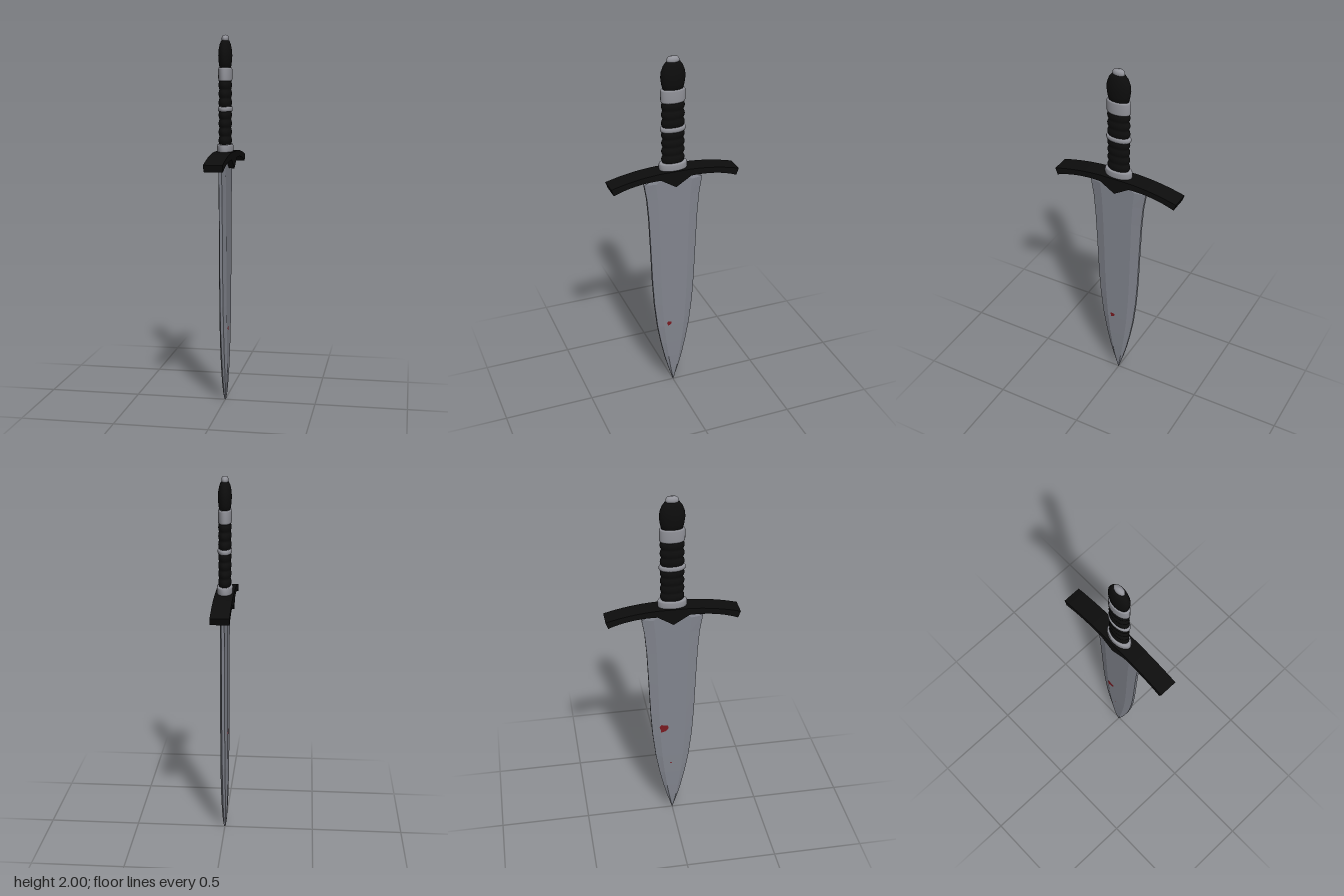
import * as THREE from 'three';

const mat = (name, color, extra = {}) => {
  const m = new THREE.MeshStandardMaterial({ color, ...extra });
  m.name = name;
  return m;
};

export function createModel() {
  const group = new THREE.Group();
  group.name = 'dagger';
  const steel = mat('blade steel', 0x82858e, { flatShading: true });
  const silver = mat('silver', 0x92939a);
  const black = mat('black leather', 0x0d0d0d);
  const blackFlat = mat('black metal', 0x0d0d0d, { flatShading: true });
  const red = mat('dark red', 0x7a1a20);

  const add = (name, geometry, material) => {
    const mesh = new THREE.Mesh(geometry, material);
    mesh.name = name;
    group.add(mesh);
    return mesh;
  };

  // Blade: bevelled eight-sided sections [y, half width, half thickness], from shoulder to tip
  const sections = [
    [1.365, 0.05, 0.02], [1.345, 0.09, 0.02], [1.31, 0.164, 0.02], [1.22, 0.149, 0.02],
    [1.1, 0.139, 0.02], [0.9, 0.13, 0.02], [0.7, 0.122, 0.02], [0.55, 0.112, 0.02],
    [0.4, 0.095, 0.02], [0.28, 0.074, 0.019], [0.18, 0.052, 0.017], [0.1, 0.031, 0.014],
    [0.04, 0.012, 0.01], [0, 0.0005, 0.004],
  ];
  const rings = sections.map(([y, w, t]) => {
    const i = w * 0.62, e = t * 0.4;
    return [[t, -i], [t, i], [e, w], [-e, w], [-t, i], [-t, -i], [-e, -w], [e, -w]]
      .map(([x, z]) => [x, y, z]);
  });
  const pos = [];
  for (let r = 0; r < rings.length - 1; r++) {
    for (let k = 0; k < 8; k++) {
      const n = (k + 1) % 8;
      const a = rings[r][k], b = rings[r][n], c = rings[r + 1][n], d = rings[r + 1][k];
      pos.push(...a, ...c, ...b, ...a, ...d, ...c);
    }
  }
  // Flip each triangle so that it faces outward
  for (let i = 0; i < pos.length; i += 9) {
    const [a, b, c] = [0, 3, 6].map((o) => new THREE.Vector3(...pos.slice(i + o, i + o + 3)));
    const normal = b.clone().sub(a).cross(c.clone().sub(a));
    const mid = a.clone().add(b).add(c).setY(0);
    if (normal.dot(mid) < 0) pos.splice(i + 3, 6, ...c.toArray(), ...b.toArray());
  }
  const blade = new THREE.BufferGeometry();
  blade.setAttribute('position', new THREE.Float32BufferAttribute(pos, 3));
  blade.computeVertexNormals();
  add('blade', blade, steel);

  // Crossguard: drooping arms with a pointed centre
  const s = new THREE.Shape();
  s.moveTo(0, 1.292);
  s.lineTo(0.085, 1.345);
  s.quadraticCurveTo(0.23, 1.35, 0.345, 1.303);
  s.lineTo(0.358, 1.34);
  s.quadraticCurveTo(0.22, 1.378, 0.08, 1.383);
  s.lineTo(-0.08, 1.383);
  s.quadraticCurveTo(-0.22, 1.378, -0.358, 1.34);
  s.lineTo(-0.345, 1.303);
  s.quadraticCurveTo(-0.23, 1.35, -0.085, 1.345);
  s.closePath();
  const guard = new THREE.ExtrudeGeometry(s, { depth: 0.1, bevelEnabled: false, curveSegments: 8 });
  guard.translate(0, 0, -0.05).rotateY(-Math.PI / 2);
  add('crossguard', guard, blackFlat);

  // Handle parts: oval lathes from [radius, y] profiles
  const oval = (name, profile, material) => {
    const pts = profile.map(([r, y]) => new THREE.Vector2(r, y));
    add(name, new THREE.LatheGeometry(pts, 28).scale(0.54, 1, 1), material);
  };
  const band = (name, y0, y1, r, inner) => {
    const b = Math.min(0.008, (y1 - y0) / 3);
    oval(name, [[inner, y0], [r - 0.004, y0], [r, y0 + b], [r, y1 - b], [r - 0.004, y1], [inner, y1]], silver);
  };
  const ribbed = (name, y0, y1, ribs) => {
    const profile = [];
    const n = ribs * 8;
    for (let i = 0; i <= n; i++) {
      const u = i / n;
      profile.push([0.056 + 0.008 * Math.abs(Math.sin(u * ribs * Math.PI)), y0 + (y1 - y0) * u]);
    }
    oval(name, profile, black);
  };
  band('handleCollar', 1.38, 1.422, 0.078, 0.04);
  ribbed('lowerGrip', 1.42, 1.6, 4);
  band('middleRing', 1.597, 1.623, 0.07, 0.04);
  ribbed('upperGrip', 1.62, 1.76, 3);
  band('upperBand', 1.757, 1.828, 0.067, 0.04);
  oval('pommel', [[0.04, 1.826], [0.055, 1.828], [0.062, 1.855], [0.067, 1.89], [0.064, 1.92],
    [0.053, 1.95], [0.038, 1.97], [0, 1.972]], black);
  oval('pommelCap', [[0.028, 1.965], [0.034, 1.974], [0.034, 1.984], [0.026, 1.996], [0, 2]], silver);

  // Stains: thin irregular plates lying on the flat faces
  const stain = (name, side, y, z, r) => {
    const shape = new THREE.Shape();
    for (let i = 0; i < 9; i++) {
      const a = (i / 9) * Math.PI * 2, q = r * (0.85 + 0.2 * Math.sin(i * 2.3));
      shape[i ? 'lineTo' : 'moveTo'](q * Math.cos(a), q * Math.sin(a));
    }
    const mesh = add(name, new THREE.ShapeGeometry(shape), red);
    mesh.rotation.y = side * Math.PI / 2;
    mesh.position.set(side * 0.0212, y, z);
  };
  stain('leftStain', 1, 0.415, 0.03, 0.016);
  stain('rightStain', -1, 0.6, -0.05, 0.03);
  stain('rightSpeck', -1, 0.35, -0.01, 0.006);
  return group;
}
